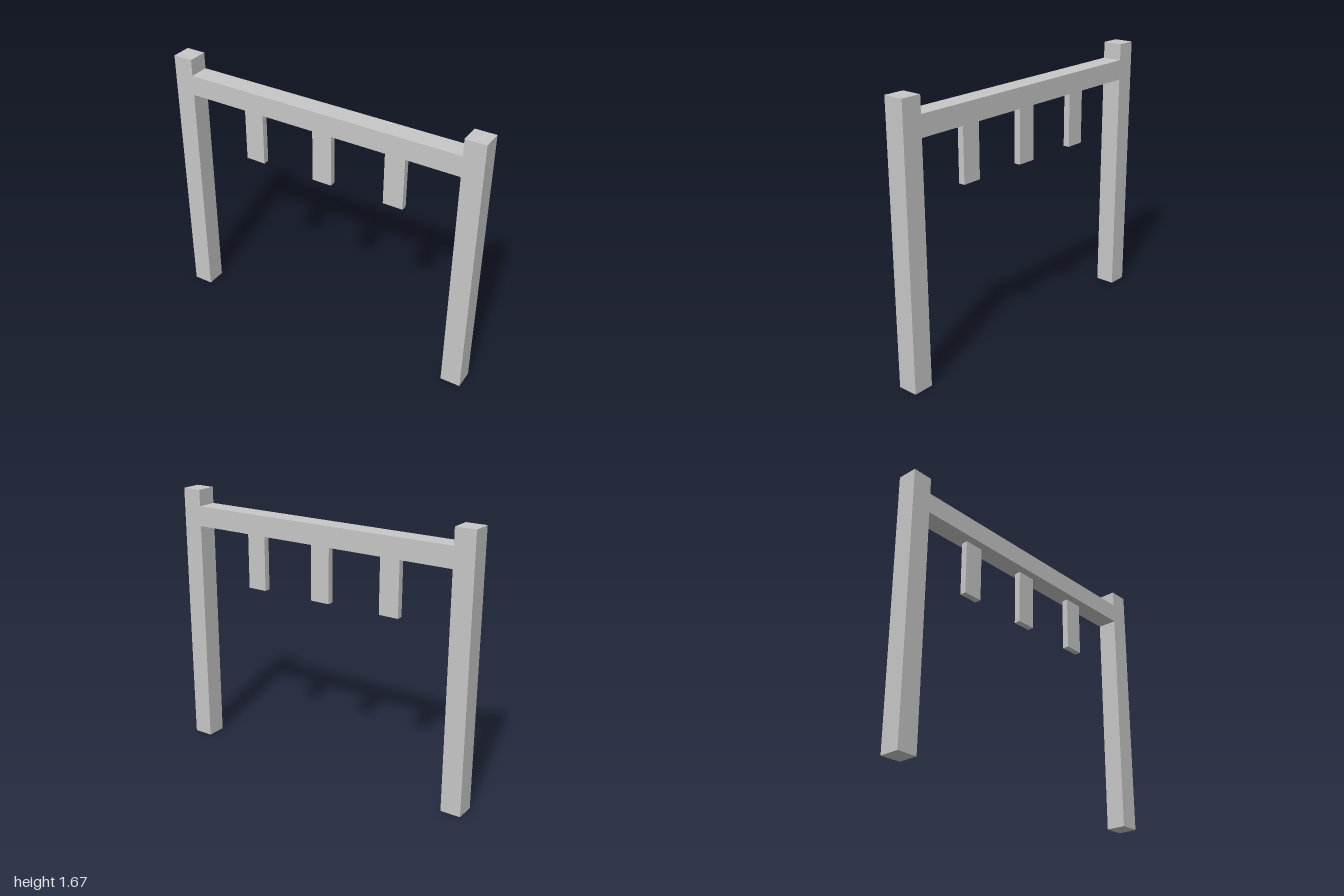
import * as THREE from 'three';

export function createModel() {
  const group = new THREE.Group();
  const grey = new THREE.MeshStandardMaterial({ color: 0xc7c7c7 });
  grey.name = 'lightGrey';

  const T = 0.125; // timber thickness
  const box = (name, w, h, d, x, bottom) => {
    const mesh = new THREE.Mesh(new THREE.BoxGeometry(w, h, d), grey);
    mesh.name = name;
    mesh.position.set(x, bottom + h / 2, 0);
    group.add(mesh);
  };

  // Two square posts
  box('rightPost', T, 1.667, T, -1 + T / 2, 0);
  box('leftPost', T, 1.667, T, 1 - T / 2, 0);

  // Crossbeam between the posts, flush front and back
  box('crossbeam', 2 - 2 * T, T, T, 0, 1.44);

  // Three thin boards hanging just below the beam
  ['rightBoard', 'middleBoard', 'leftBoard'].forEach((name, i) => {
    box(name, T, 0.344, 0.04, (i - 1) * 0.469, 1.088);
  });

  return group;
}
